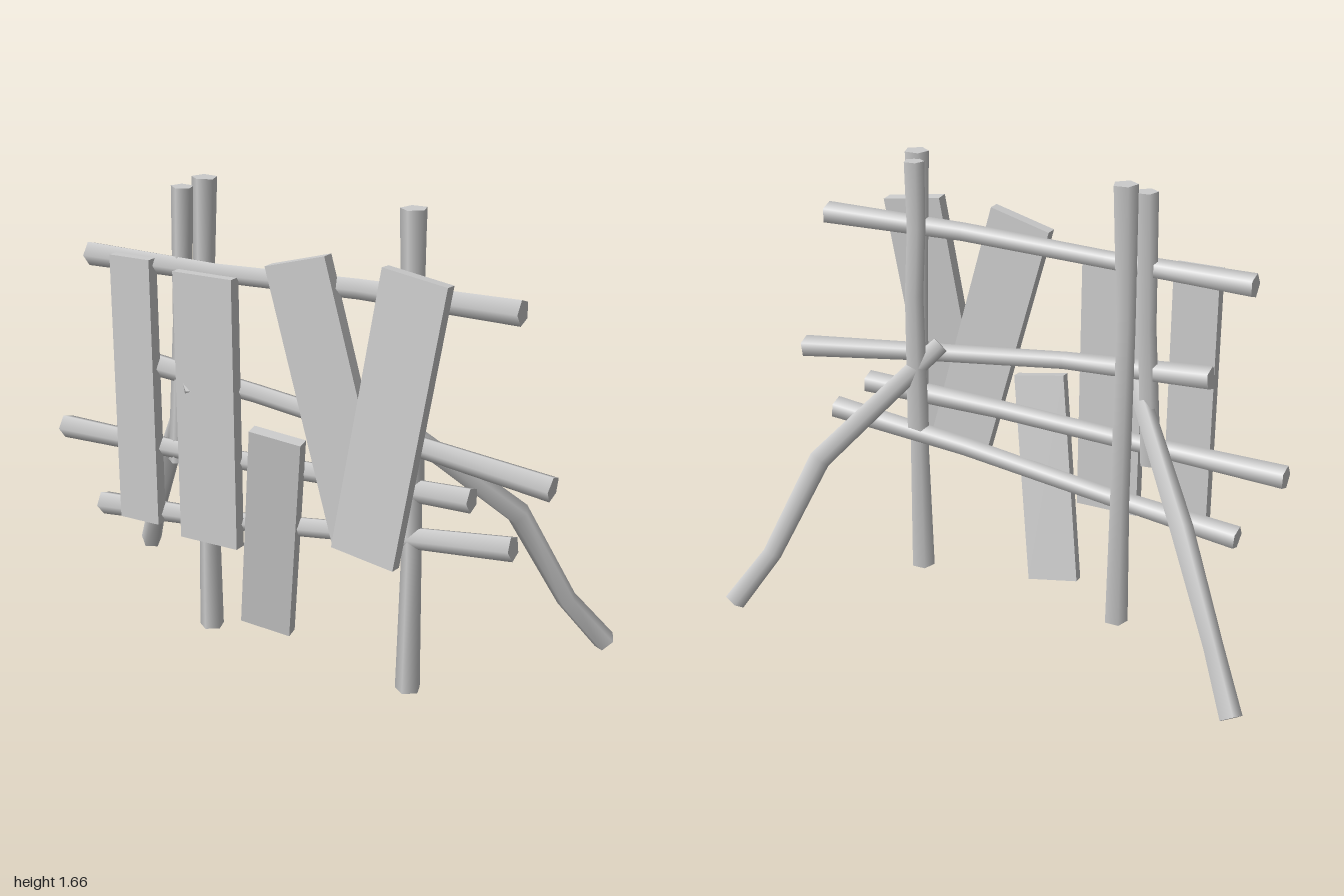
import * as THREE from 'three';

const material = new THREE.MeshStandardMaterial({ color: 0xcccccc });

// Rough five-sided log: rings of a cylinder are moved onto path points [x, y, z, radius]
function log(name, path) {
  const n = path.length;
  const pts = path.map(p => new THREE.Vector3(p[0], p[1], p[2]));
  const turns = pts.map((p, i) => {
    const dir = pts[Math.min(i + 1, n - 1)].clone().sub(pts[Math.max(i - 1, 0)]).normalize();
    return new THREE.Quaternion().setFromUnitVectors(new THREE.Vector3(0, 1, 0), dir);
  });
  const geo = new THREE.CylinderGeometry(1, 1, 1, 5, n - 1);
  const pos = geo.attributes.position, nor = geo.attributes.normal;
  const v = new THREE.Vector3();
  for (let i = 0; i < pos.count; i++) {
    const k = Math.round((pos.getY(i) + 0.5) * (n - 1));
    v.set(pos.getX(i), 0, pos.getZ(i)).multiplyScalar(path[k][3]).applyQuaternion(turns[k]).add(pts[k]);
    pos.setXYZ(i, v.x, v.y, v.z);
    v.fromBufferAttribute(nor, i).applyQuaternion(turns[k]);
    nor.setXYZ(i, v.x, v.y, v.z);
  }
  const mesh = new THREE.Mesh(geo, material);
  mesh.name = name;
  return mesh;
}

// Flat board: size, centre and tilt
function plank(name, size, centre, tilt) {
  const mesh = new THREE.Mesh(new THREE.BoxGeometry(...size), material);
  mesh.name = name;
  mesh.position.set(...centre);
  mesh.rotation.set(...tilt);
  return mesh;
}

export function createModel() {
  const model = new THREE.Group();
  model.name = 'plankFence';

  // Upright posts, slightly waisted
  model.add(
    log('rightPost', [[-0.35, 0, 0.18, 0.045], [-0.35, 0.5, 0.18, 0.037], [-0.355, 1.15, 0.18, 0.035], [-0.34, 1.66, 0.18, 0.045]]),
    log('leftPost', [[0.495, 0, 0.245, 0.045], [0.5, 0.5, 0.245, 0.036], [0.49, 1.15, 0.245, 0.036], [0.485, 1.66, 0.245, 0.045]])
  );

  // Shorter poles lashed beside the posts
  model.add(
    log('rightSidePole', [[-0.445, 0.64, 0.225, 0.039], [-0.415, 1.15, 0.225, 0.034], [-0.4, 1.63, 0.225, 0.04]]),
    log('leftSidePole', [[0.45, 0.64, 0.148, 0.041], [0.46, 1.15, 0.158, 0.035], [0.455, 1.4, 0.175, 0.035], [0.46, 1.64, 0.18, 0.038]])
  );

  // Crooked braces splayed out behind
  model.add(
    log('rightBrace', [[-0.96, 0.03, -0.285, 0.042], [-0.85, 0.22, -0.18, 0.037], [-0.67, 0.56, -0.045, 0.043], [-0.33, 0.965, 0.3, 0.034]]),
    log('leftBrace', [[0.96, 0.03, -0.37, 0.042], [0.85, 0.21, -0.265, 0.037], [0.72, 0.56, -0.115, 0.043], [0.39, 0.95, 0.22, 0.036]])
  );

  // Horizontal rails
  const rails = [
    [[-0.79, 1.355, 0.235], [-0.25, 1.36, 0.25], [0.3, 1.38, 0.25], [0.86, 1.38, 0.24]],
    [[-0.655, 1.0, 0.235], [-0.1, 0.96, 0.25], [0.45, 0.895, 0.25], [0.985, 0.83, 0.24]],
    [[-0.94, 0.685, 0.235], [-0.4, 0.695, 0.25], [0.15, 0.72, 0.25], [0.71, 0.735, 0.24]],
    [[-0.78, 0.415, 0.235], [-0.25, 0.465, 0.25], [0.3, 0.54, 0.25], [0.86, 0.6, 0.24]]
  ];
  const railRadii = [0.044, 0.034, 0.036, 0.044];
  rails.forEach((rail, i) => model.add(log('rail' + (i + 1), rail.map((p, k) => [...p, railRadii[k]]))));

  // Boards nailed on at odd angles
  model.add(
    plank('plank1', [0.165, 0.97, 0.045], [-0.573, 0.895, 0.28], [0, 0, 0.005]),
    plank('plank2', [0.235, 0.965, 0.045], [-0.265, 0.878, 0.295], [0, 0, 0.005]),
    plank('plank3', [0.233, 0.955, 0.045], [0.215, 0.993, 0.285], [0, 0, 0.27]),
    plank('plank4', [0.233, 0.96, 0.045], [0.468, 0.992, 0.348], [-0.073, 0, -0.145]),
    plank('plank5', [0.19, 0.785, 0.045], [-0.023, 0.47, 0.278], [0.15, 0.1, -0.145])
  );
  return model;
}
